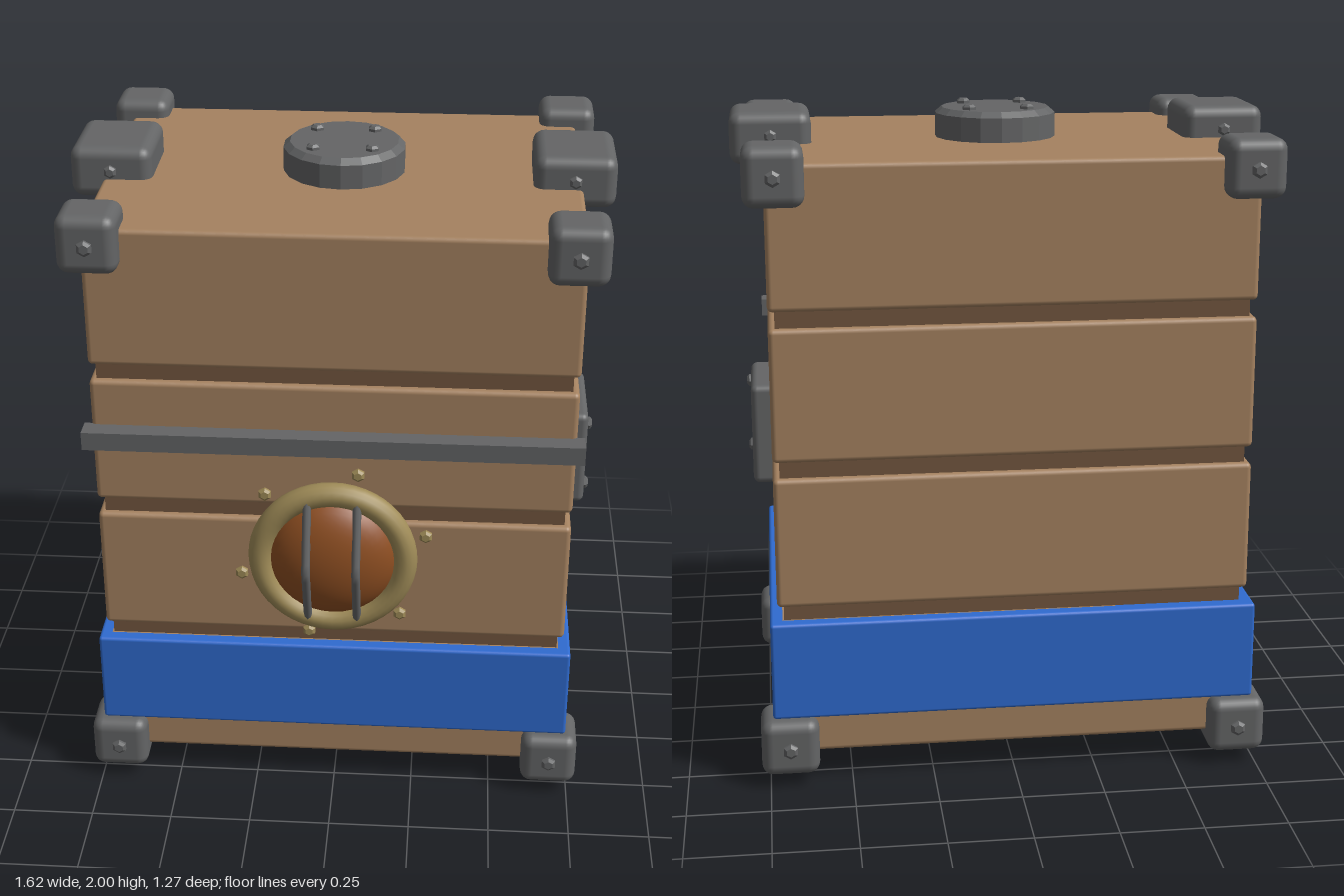
import * as THREE from 'three';
import { RoundedBoxGeometry } from 'three/addons/geometries/RoundedBoxGeometry.js';

const mat = (color, extra = {}) => new THREE.MeshStandardMaterial({ color, ...extra });
const wood = mat(0xa58260);
const groove = mat(0x73563f);
const blue = mat(0x2f6bd0);
const iron = mat(0x646566);
const ironFlat = mat(0x646566, { flatShading: true });
const brass = mat(0xa08c58);
const brassFlat = mat(0xa08c58, { flatShading: true });
const amber = mat(0x8f4f22);

const CZ = -0.027; // centre of the body in depth

export function createModel() {
  const model = new THREE.Group();

  const add = (name, geometry, material, x = 0, y = 0, z = 0) => {
    const mesh = new THREE.Mesh(geometry, material);
    mesh.name = name;
    mesh.position.set(x, y, z);
    model.add(mesh);
    return mesh;
  };

  // Rounded box given by its bottom and top heights
  const slab = (name, material, w, d, y0, y1, r, x = 0, z = CZ) =>
    add(name, new RoundedBoxGeometry(w, y1 - y0, d, 3, r), material, x, (y0 + y1) / 2, z);

  // Hex bolt head whose base sits at (x, y, z) and points along dir
  const up = new THREE.Vector3(0, 1, 0);
  const bolt = (name, x, y, z, dir, r = 0.024, material = ironFlat) => {
    const profile = [[r, -0.01], [r, 0.008], [r * 0.6, 0.015], [0, 0.015]];
    const geometry = new THREE.LatheGeometry(profile.map(p => new THREE.Vector2(...p)), 6);
    const mesh = add(name, geometry, material, x, y, z);
    mesh.quaternion.setFromUnitVectors(up, new THREE.Vector3(...dir));
  };

  // Crate body: stacked slabs around a darker core
  for (const [y0, y1] of [[0.1, 0.525], [0.57, 0.97], [1.02, 1.42], [1.47, 1.895]]) {
    slab('bodySlab', wood, 1.43, 1.07, y0, y1, 0.015);
  }
  add('grooveCore', new THREE.BoxGeometry(1.39, 1.7, 1.03), groove, 0, 1, CZ);
  slab('blueBand', blue, 1.475, 1.115, 0.22, 0.525, 0.01);

  // Corner guards with a bolt on the front or back face
  for (const sx of [-1, 1]) {
    for (const sz of [-1, 1]) {
      for (const y of [0.1325, 1.8625]) {
        const z = CZ + sz * 0.505;
        slab('cornerGuard', iron, 0.175, 0.175, y - 0.0875, y + 0.0875, 0.035, sx * 0.6875, z);
        bolt('cornerBolt', sx * 0.6875, y, z + sz * 0.0875, [0, 0, sz]);
      }
    }

    // Foot and upper side bumper
    slab('foot', iron, 0.215, 0.285, 0.005, 0.155, 0.04, sx * 0.36);
    slab('topBumper', iron, 0.245, 0.285, 1.833, 1.99, 0.035, sx * 0.69);
    for (const sz of [-1, 1]) {
      bolt('bumperBolt', sx * 0.69, 1.92, CZ + sz * 0.142, [0, 0, sz], 0.02);
    }

    // Side plate with two bolts near its front edge
    slab('sidePlate', iron, 0.08, 0.32, 0.84, 1.155, 0.02, sx * 0.735);
    for (const y of [0.89, 1.105]) bolt('plateBolt', sx * 0.774, y, 0.083, [sx, 0, 0], 0.02);
  }

  // Round cap on top with four bolts
  const capProfile = [[0.185, 0], [0.185, 0.073], [0.165, 0.09], [0, 0.09]];
  add('topCap', new THREE.LatheGeometry(capProfile.map(p => new THREE.Vector2(...p)), 18),
    ironFlat, 0, 1.895, -0.03);
  for (const x of [-0.088, 0.088]) {
    for (const z of [-0.117, 0.057]) bolt('capBolt', x, 1.985, z, [0, 1, 0], 0.022);
  }

  // Front rail
  add('frontRail', new THREE.BoxGeometry(1.475, 0.057, 0.065), ironFlat, 0, 1.248, 0.533);

  // Porthole: brass ring, domed glass, bent guard bars and bolts
  const PY = 0.853;
  add('portholeRing', new THREE.TorusGeometry(0.22, 0.037, 14, 48), brass, 0, PY, 0.528);
  const dome = add('portholeGlass',
    new THREE.SphereGeometry(0.2, 36, 12, 0, Math.PI * 2, 0, Math.PI / 2), amber, 0, PY, 0.508);
  dome.rotation.x = Math.PI / 2;
  dome.scale.y = 0.52;

  for (const x of [-0.075, 0.075]) {
    const path = new THREE.CurvePath();
    const points = [[1.06, 0.55], [0.853, 0.627], [0.646, 0.55]]
      .map(([y, z]) => new THREE.Vector3(x, y, z));
    path.add(new THREE.LineCurve3(points[0], points[1]));
    path.add(new THREE.LineCurve3(points[1], points[2]));
    add('guardBar', new THREE.TubeGeometry(path, 16, 0.013, 8), iron);
    for (const p of [points[0], points[2]]) {
      add('guardBarEnd', new THREE.SphereGeometry(0.013, 8, 6), iron, p.x, p.y, p.z);
    }
  }

  for (let i = 0; i < 6; i++) {
    const a = THREE.MathUtils.degToRad(15 + i * 60);
    bolt('portholeBolt', 0.29 * Math.cos(a), PY + 0.29 * Math.sin(a), 0.508, [0, 0, 1], 0.021, brassFlat);
  }

  return model;
}
